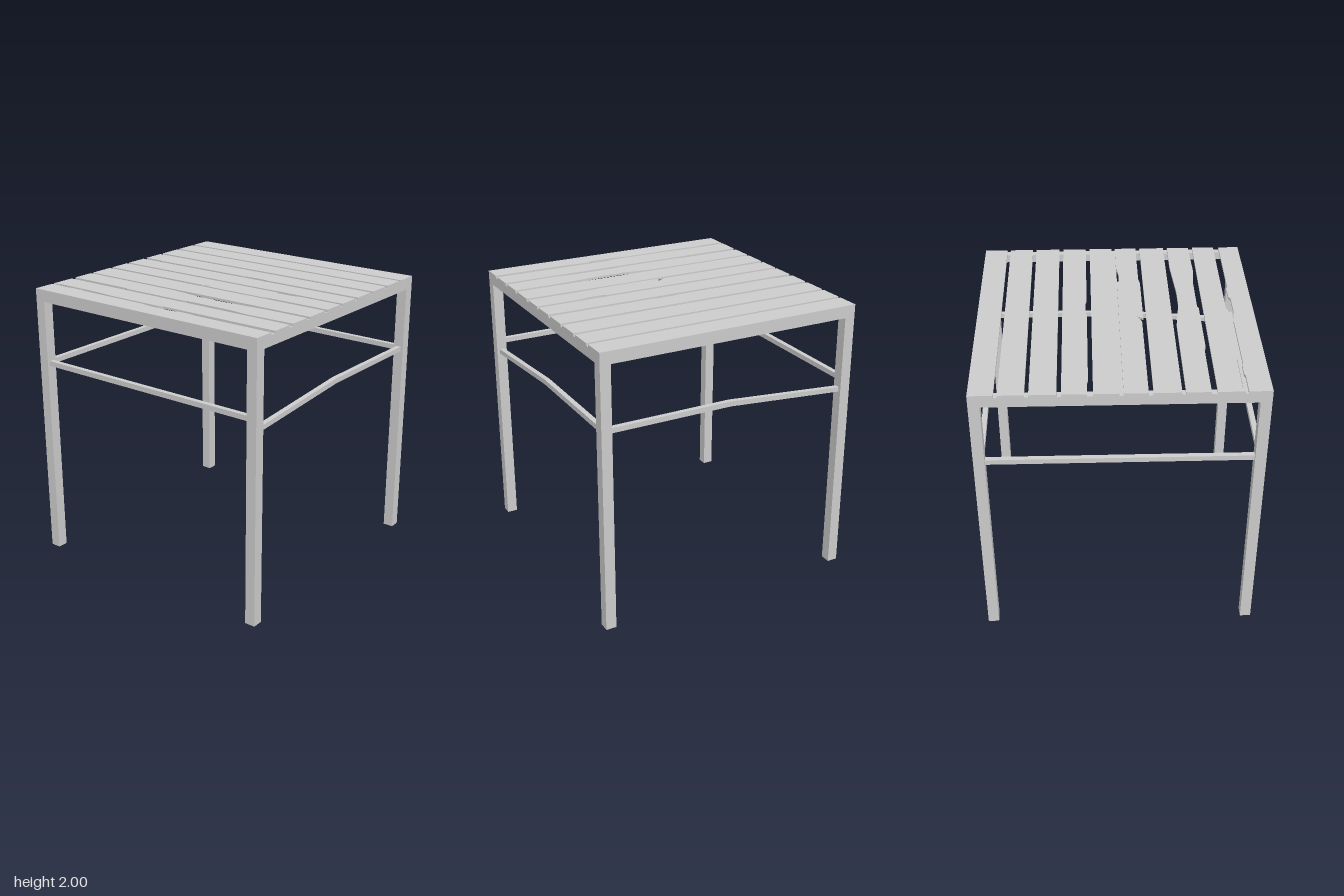
import * as THREE from 'three';

const material = new THREE.MeshStandardMaterial({ color: 0xcccccc, flatShading: true });
const HALF = 0.953, LEG = 0.075, TOP = 2, PLANK = 0.016;
const UNDER = TOP - PLANK;
const INNER = HALF - LEG;

export function createModel() {
  const model = new THREE.Group();
  model.name = 'slattedTable';

  const add = (name, geometry, x = 0, y = 0, z = 0, turn = 0) => {
    const mesh = new THREE.Mesh(geometry, material);
    mesh.name = name;
    mesh.position.set(x, y, z);
    mesh.rotation.y = turn;
    model.add(mesh);
    return mesh;
  };
  const polygon = (points) => new THREE.Shape(points.map(([a, b]) => new THREE.Vector2(a, b)));
  const extrude = (points, depth) =>
    new THREE.ExtrudeGeometry(polygon(points), { depth, bevelEnabled: false });

  // Square legs
  for (const [sx, sideName] of [[1, 'Left'], [-1, 'Right']]) {
    for (const [sz, endName] of [[1, 'front'], [-1, 'back']]) {
      add(endName + sideName + 'Leg', new THREE.BoxGeometry(LEG, UNDER, LEG),
        sx * (HALF - LEG / 2), UNDER / 2, sz * (HALF - LEG / 2));
    }
  }

  // Angle-section rails between the legs: upright outer web, flat inner lip
  const railSection = [[0, 0], [0, 1.913 - UNDER], [-0.026, 1.913 - UNDER],
    [-0.026, -0.02], [-0.052, -0.02], [-0.052, 0]];
  const railGeometry = extrude(railSection, 2 * INNER).translate(HALF, UNDER, -INNER);
  ['leftRail', 'backRail', 'rightRail', 'frontRail'].forEach((name, i) =>
    add(name, railGeometry, 0, 0, 0, i * Math.PI / 2));

  // Central bearer under the slats
  add('centreBearer', new THREE.BoxGeometry(0.044, 0.055, 2 * (HALF - 0.03)), 0, UNDER - 0.0275, 0);

  // Braces: two straight, two bent down over half of their length
  const bar = 0.036, barY = 1.44, braceLine = HALF - LEG / 2;
  const straight = new THREE.BoxGeometry(2 * INNER, bar, bar).translate(0, barY + bar / 2, 0);
  const bent = extrude([[-INNER, 1.368], [0, barY], [INNER, barY],
    [INNER, barY + bar], [0, barY + bar], [-INNER, 1.402]], bar).translate(0, 0, -bar / 2);
  add('frontBrace', bent, 0, 0, braceLine);
  add('leftBrace', bent, braceLine, 0, 0, -Math.PI / 2);
  add('backBrace', straight, 0, 0, -braceLine);
  add('rightBrace', straight, -braceLine, 0, 0, Math.PI / 2);

  // Slats: left and right x, with optional worn edges as [x, z] points from back to front
  const edge = (x) => [[x, -HALF], [x, HALF]];
  const slats = [
    [edge(-HALF), [[-0.8, -HALF], [-0.8, -0.78], [-0.792, -0.76], [-0.792, -0.66], [-0.8, -0.64],
      [-0.8, -0.11], [-0.813, 0], [-0.813, 0.18], [-0.799, 0.21], [-0.799, 0.32],
      [-0.807, 0.35], [-0.807, HALF]]],
    [[[-0.78, -HALF], [-0.766, -0.9], [-0.766, -0.6], [-0.777, -0.43], [-0.78, 0.02],
      [-0.766, 0.06], [-0.766, HALF]], edge(-0.606)],
    [[[-0.568, -HALF], [-0.568, -0.46], [-0.578, -0.44], [-0.578, 0.06], [-0.568, 0.09],
      [-0.568, 0.43], [-0.583, 0.6], [-0.574, HALF]],
    [[-0.408, -HALF], [-0.408, -0.15], [-0.438, 0.11], [-0.438, 0.29], [-0.415, 0.65],
      [-0.415, HALF]]],
    [edge(-0.385), edge(-0.206)],
    [[[-0.176, -HALF], [-0.176, -0.1], [-0.14, -0.035], [-0.186, -0.06], [-0.186, 0.42],
      [-0.176, 0.48], [-0.176, HALF]],
    [[-0.02, -HALF], [-0.02, 0.44], [-0.035, 0.46], [-0.035, 0.56], [-0.02, 0.65], [-0.02, HALF]]],
    [edge(0.006), edge(0.17)],
    [[[0.208, -HALF], [0.208, -0.82], [0.2, -0.8], [0.2, -0.02], [0.208, 0.04], [0.208, 0.16],
      [0.2, 0.19], [0.2, HALF]], edge(0.369)],
    [edge(0.398), edge(0.572)],
    [edge(0.598), edge(0.766)],
    [edge(0.79), edge(HALF)],
  ];
  slats.forEach(([left, right], i) => {
    const geometry = extrude([...left, ...right.slice().reverse()], PLANK).rotateX(Math.PI / 2);
    add('slat' + (i + 1), geometry, 0, TOP, 0);
  });

  return model;
}
